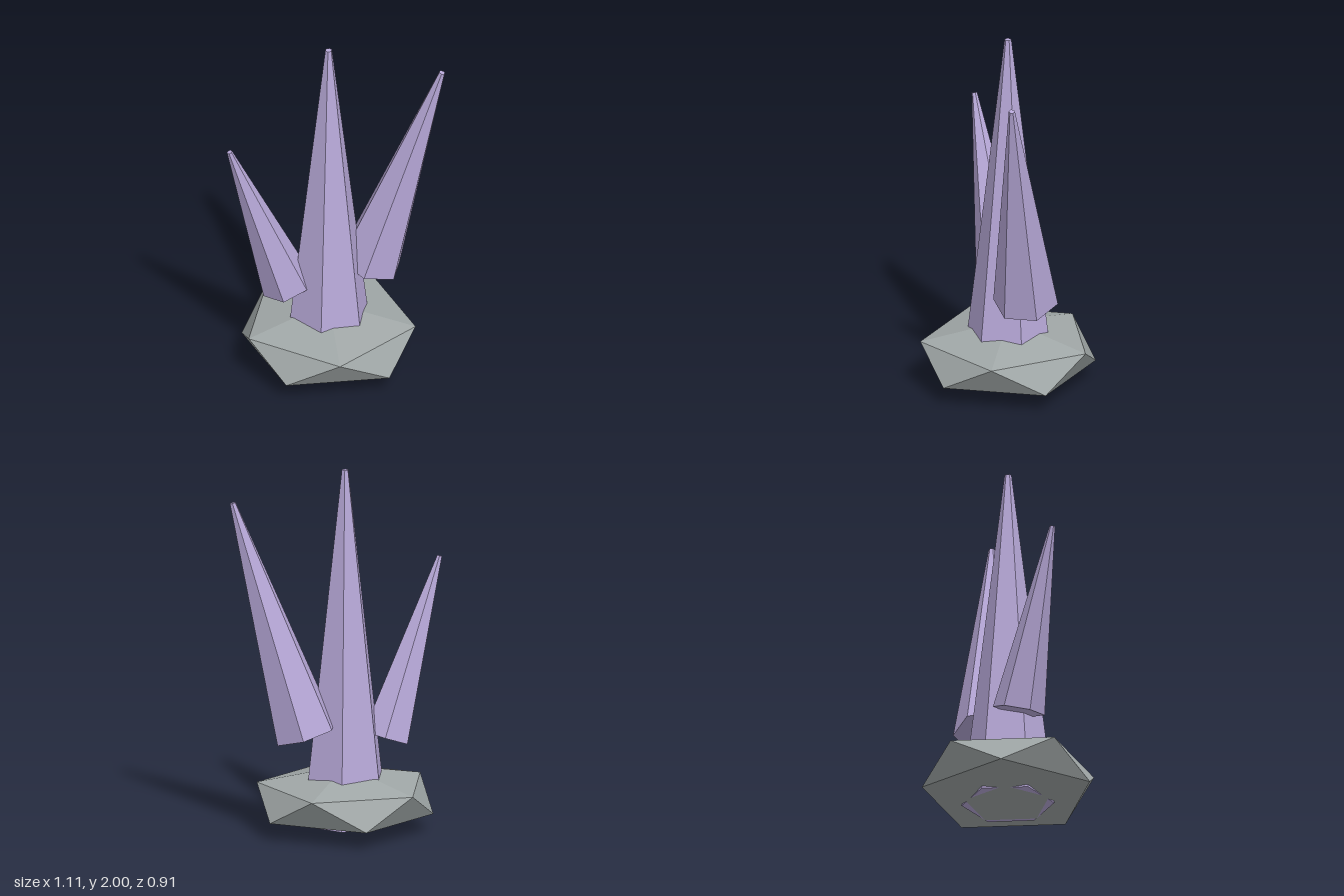
import * as THREE from 'three';
import { ConvexGeometry } from 'three/addons/geometries/ConvexGeometry.js';

const CENTRE_X = -0.053;

function createMaterials() {
  const crystal = new THREE.MeshStandardMaterial({ color: 0xb8a9d9, flatShading: true });
  crystal.name = 'lilac crystal';
  const stone = new THREE.MeshStandardMaterial({ color: 0xa0a7a7, flatShading: true });
  stone.name = 'grey stone';
  return { crystal, stone };
}

// Flattened icosahedron: two poles and two staggered rings of five
function stoneGeometry() {
  const points = [new THREE.Vector3(0, 0, 0), new THREE.Vector3(0, 0.36, 0)];
  const radius = 0.476;
  for (let i = 0; i < 5; i++) {
    const a = (i * Math.PI * 2) / 5;
    const b = a + Math.PI / 5;
    points.push(new THREE.Vector3(radius * Math.cos(a), 0.26, radius * Math.sin(a)));
    points.push(new THREE.Vector3(radius * Math.cos(b), 0.1, radius * Math.sin(b)));
  }
  return new ConvexGeometry(points);
}

// Six-sided tapering crystal whose origin is the middle of its base
function makeCrystal(name, material, { base, radius, tip, length, tiltX = 0, tiltZ = 0 }) {
  const geometry = new THREE.CylinderGeometry(tip, radius, length, 6);
  geometry.translate(0, length / 2, 0);
  const mesh = new THREE.Mesh(geometry, material);
  mesh.name = name;
  mesh.position.set(...base);
  mesh.rotation.set(tiltX, 0, tiltZ, 'ZYX');
  return mesh;
}

export function createModel() {
  const group = new THREE.Group();
  group.name = 'crystalCluster';
  const { crystal, stone } = createMaterials();

  const rock = new THREE.Mesh(stoneGeometry(), stone);
  rock.name = 'baseStone';
  rock.position.x = CENTRE_X;
  group.add(rock);

  group.add(
    makeCrystal('mainCrystal', crystal, {
      base: [CENTRE_X, 0.05, 0], radius: 0.25, tip: 0.019, length: 1.95,
    }),
    makeCrystal('leftCrystal', crystal, {
      base: [0.148, 0.563, -0.135], radius: 0.177, tip: 0.017, length: 1.335, tiltZ: -0.3,
    }),
    makeCrystal('rightCrystal', crystal, {
      base: [-0.267, 0.502, 0.075], radius: 0.142, tip: 0.015, length: 1.02, tiltX: 0.2, tiltZ: 0.28,
    }),
  );
  return group;
}
